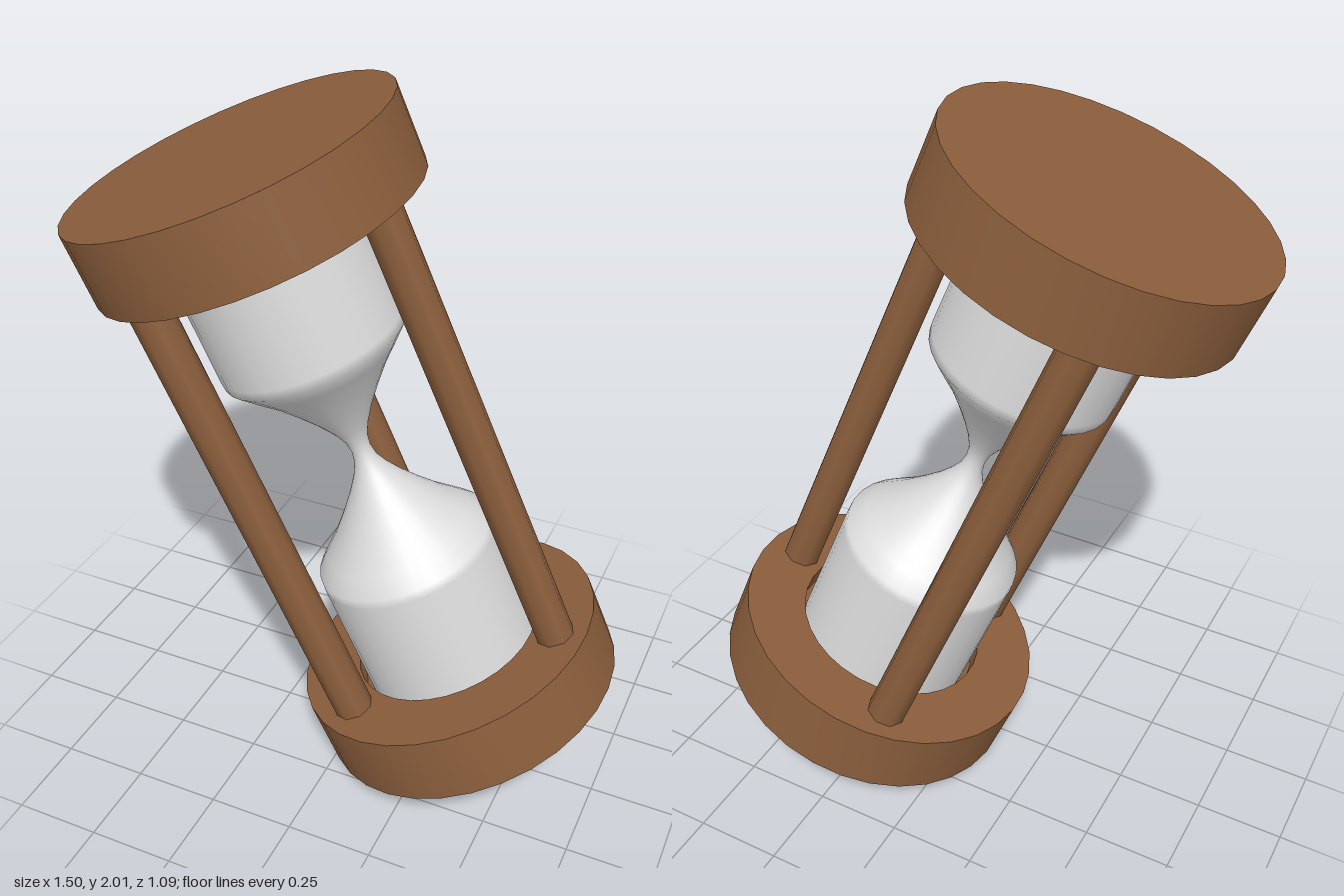
import * as THREE from 'three';
import { toCreasedNormals } from 'three/addons/utils/BufferGeometryUtils.js';

const wood = new THREE.MeshStandardMaterial({ color: 0x8b5e3c });
wood.name = 'brown wood';
const glassGrey = new THREE.MeshStandardMaterial({ color: 0xdcdcdc, side: THREE.DoubleSide });
glassGrey.name = 'pale grey glass';

const HALF = 0.898, THICK = 0.21, RADIUS = 0.455;
const INNER = HALF - THICK;

const lathe = (pairs, segments) =>
  new THREE.LatheGeometry(pairs.map(([r, y]) => new THREE.Vector2(r, y)), segments);

function add(parent, name, geometry, material) {
  const mesh = new THREE.Mesh(geometry, material);
  mesh.name = name;
  parent.add(mesh);
  return mesh;
}

export function createModel() {
  const model = new THREE.Group();
  model.name = 'hourglass';

  // The whole timer leans to one side and slightly forward
  const body = new THREE.Group();
  body.name = 'tiltedBody';
  body.position.y = 1;
  body.rotation.set(0.114, 0, 0.369);
  model.add(body);

  // End discs, each with a shallow socket for the glass
  const disc = toCreasedNormals(lathe([
    [0, INNER + 0.06], [0.279, INNER + 0.06], [0.279, INNER],
    [RADIUS, INNER], [RADIUS, HALF], [0, HALF],
  ], 32), 0.6);
  add(body, 'topDisc', disc, wood);
  add(body, 'bottomDisc', disc, wood).rotation.x = Math.PI;

  // Three posts joining the discs
  const post = new THREE.CylinderGeometry(0.056, 0.056, 2 * INNER + 0.1, 8);
  for (let i = 0; i < 3; i++) {
    const a = (i * Math.PI * 2) / 3;
    add(body, 'post', post, wood).position.set(0.357 * Math.cos(a), 0, 0.357 * Math.sin(a));
  }

  // Glass: one half of the profile, mirrored about the neck
  const half = [
    [0.028, 0], [0.033, 0.035], [0.052, 0.075], [0.084, 0.125], [0.125, 0.18],
    [0.174, 0.24], [0.222, 0.29], [0.262, 0.333], [0.264, 0.36], [0.264, INNER + 0.059],
  ];
  const lower = half.slice(1).reverse().map(([r, y]) => [r, -y]);
  add(body, 'glass', lathe([...lower, ...half], 32), glassGrey);

  return model;
}
